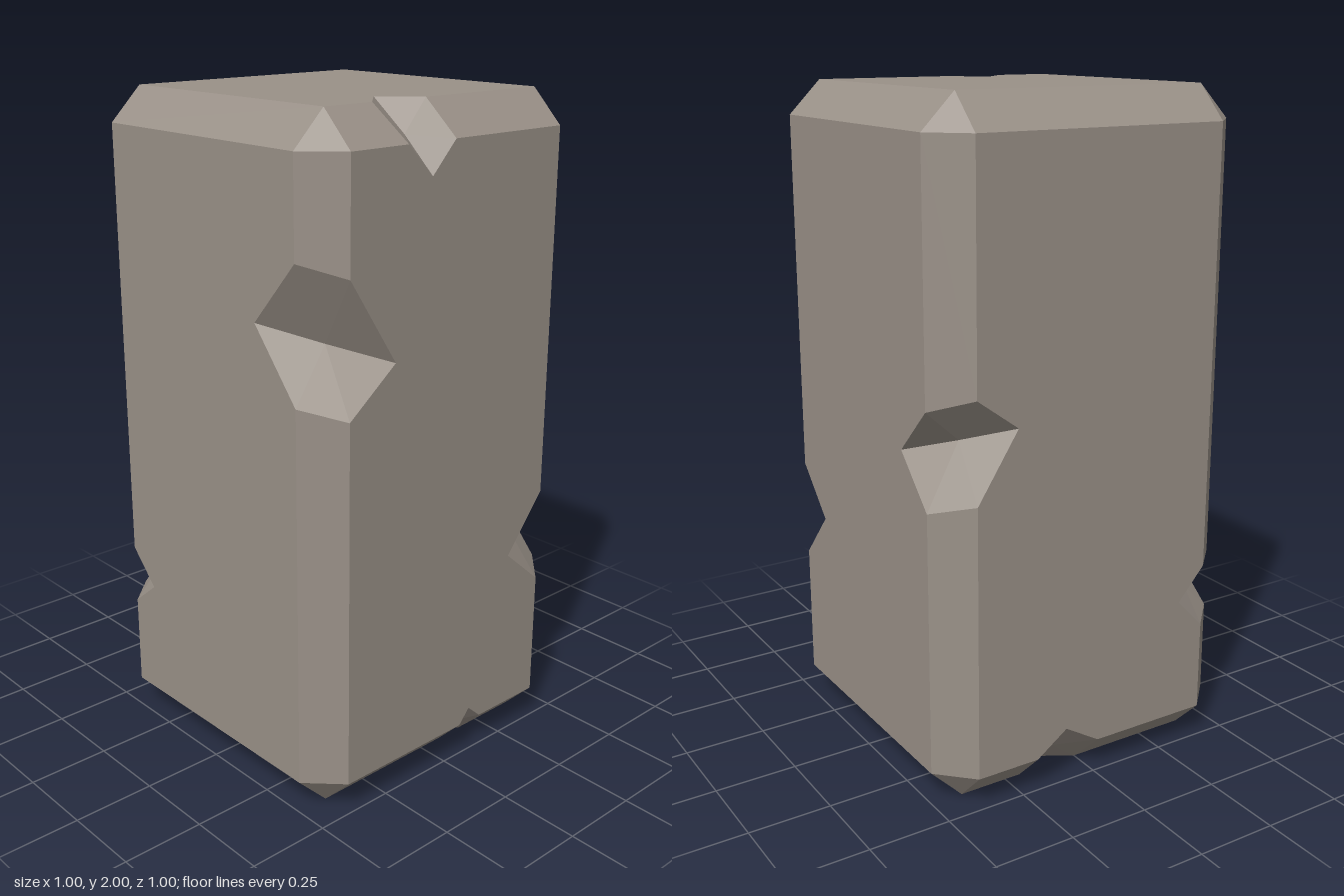
import * as THREE from 'three';

const CENTRE = [0, 1, 0], HALF = [0.5, 1, 0.5], BEVEL = 0.1;

// Chips by edge (signs of x, y, z; 0 marks the axis the edge runs along).
// For each face axis meeting there: [low, high, tip along the edge, tip position across the face].
const CHIPS = {
  '-1,0,1': { 2: [1.2, 1.58, 1.33, -0.235], 0: [1.235, 1.62, 1.435, 0.235] },
  '1,0,1': { 2: [0.495, 0.79, 0.615, 0.26], 0: [0.51, 0.81, 0.665, 0.26] },
  '1,0,-1': { 2: [0.92, 1.215, 1.12, 0.27], 0: [0.89, 1.175, 1.035, -0.26] },
  '-1,0,-1': { 2: [0.38, 0.575, 0.474, -0.31], 0: [0.385, 0.57, 0.466, -0.3] },
  '0,1,1': { 2: [-0.2, -0.025, -0.11, 1.81], 1: [-0.235, -0.04, -0.135, 0.3] },
  '0,-1,1': { 2: [0.065, 0.155, 0.105, 0.145], 1: [0.08, 0.17, 0.125, 0.36] },
  '0,-1,-1': { 2: [-0.015, 0.2, 0.1, 0.17], 1: [0, 0.2, 0.1, -0.34] },
};

const outer = (axis, sign) => CENTRE[axis] + sign * HALF[axis];
const inner = (axis, sign) => CENTRE[axis] + sign * (HALF[axis] - BEVEL);

// Corner of the flat face on the given axis
function corner(axis, signs) {
  return new THREE.Vector3(...signs.map((s, i) => (i === axis ? outer(i, s) : inner(i, s))));
}

// Low, tip and high points a chip leaves on one face
function chipPoints(axis, signs) {
  const chip = CHIPS[signs.join()];
  if (!chip) return null;
  const along = signs.indexOf(0), across = 3 - axis - along;
  const [low, high, tip, tipAcross] = chip[axis];
  const point = (t, c) => {
    const p = [0, 0, 0];
    p[axis] = outer(axis, signs[axis]);
    p[along] = t;
    p[across] = c;
    return new THREE.Vector3(...p);
  };
  const rim = inner(across, signs[across]);
  return [point(low, rim), point(tip, tipAcross), point(high, rim)];
}

// Adds a triangle wound to face the outward direction
function addTriangle(out, a, b, c, outward) {
  const n = b.clone().sub(a).cross(c.clone().sub(a));
  const order = n.dot(outward) > 0 ? [a, b, c] : [a, c, b];
  order.forEach((p) => out.push(p.x, p.y, p.z));
}

function addQuad(out, a, b, c, d, outward) {
  addTriangle(out, a, b, c, outward);
  addTriangle(out, a, c, d, outward);
}

// Flat side with chip outlines cut into its rim
function addFace(out, axis, sign) {
  const u = (axis + 1) % 3, v = (axis + 2) % 3;
  const loop = [[-1, -1], [1, -1], [1, 1], [-1, 1]];
  const points = [];
  loop.forEach(([su, sv], i) => {
    const [nu, nv] = loop[(i + 1) % 4];
    const signs = [0, 0, 0];
    signs[axis] = sign; signs[u] = su; signs[v] = sv;
    points.push(corner(axis, signs));
    const edge = [...signs];
    edge[su === nu ? v : u] = 0;
    const chip = chipPoints(axis, edge);
    if (chip) points.push(...((su === nu ? nv - sv : nu - su) > 0 ? chip : chip.reverse()));
  });
  const flat = points.map((p) => new THREE.Vector2(p.getComponent(u), p.getComponent(v)));
  const outward = new THREE.Vector3().setComponent(axis, sign);
  for (const [a, b, c] of THREE.ShapeUtils.triangulateShape(flat, [])) {
    addTriangle(out, points[a], points[b], points[c], outward);
  }
}

// Bevel strip along one edge, with the chip's hollow where there is one
function addEdge(bevels, hollows, signs) {
  const along = signs.indexOf(0);
  const [f, g] = [0, 1, 2].filter((i) => i !== along);
  const outward = new THREE.Vector3(...signs);
  const end = (axis, s) => corner(axis, signs.map((v, i) => (i === along ? s : v)));
  const a = chipPoints(f, signs), b = chipPoints(g, signs);
  if (!a) {
    addQuad(bevels, end(f, -1), end(f, 1), end(g, 1), end(g, -1), outward);
    return;
  }
  const valley = a[1].clone().add(b[1]).multiplyScalar(0.5).addScaledVector(outward, 0.005);
  [[0, -1], [2, 1]].forEach(([i, s]) => {
    addQuad(bevels, end(f, s), a[i], b[i], end(g, s), outward);
    const facing = outward.clone().multiplyScalar(0.7).setComponent(along, -s);
    addTriangle(hollows, a[i], a[1], valley, facing);
    addTriangle(hollows, a[i], valley, b[i], facing);
    addTriangle(hollows, b[i], valley, b[1], facing);
  });
}

export function createModel() {
  const stone = new THREE.MeshStandardMaterial({ name: 'warm grey stone', color: 0x9a9188 });
  const sides = [], bevels = [], hollows = [];

  // Every sign triple is a face, an edge or a corner of the block
  for (const x of [-1, 0, 1]) for (const y of [-1, 0, 1]) for (const z of [-1, 0, 1]) {
    const signs = [x, y, z];
    const zeros = signs.filter((s) => s === 0).length;
    if (zeros === 2) {
      const axis = signs.findIndex((s) => s !== 0);
      addFace(sides, axis, signs[axis]);
    } else if (zeros === 1) {
      addEdge(bevels, hollows, signs);
    } else if (zeros === 0) {
      addTriangle(bevels, corner(0, signs), corner(1, signs), corner(2, signs), new THREE.Vector3(x, y, z));
    }
  }

  const model = new THREE.Group();
  model.name = 'chippedStoneBlock';
  const parts = { flatSides: sides, beveledEdges: bevels, chips: hollows };
  for (const [name, positions] of Object.entries(parts)) {
    const geometry = new THREE.BufferGeometry();
    geometry.setAttribute('position', new THREE.Float32BufferAttribute(positions, 3));
    geometry.computeVertexNormals();
    const mesh = new THREE.Mesh(geometry, stone);
    mesh.name = name;
    model.add(mesh);
  }
  return model;
}
